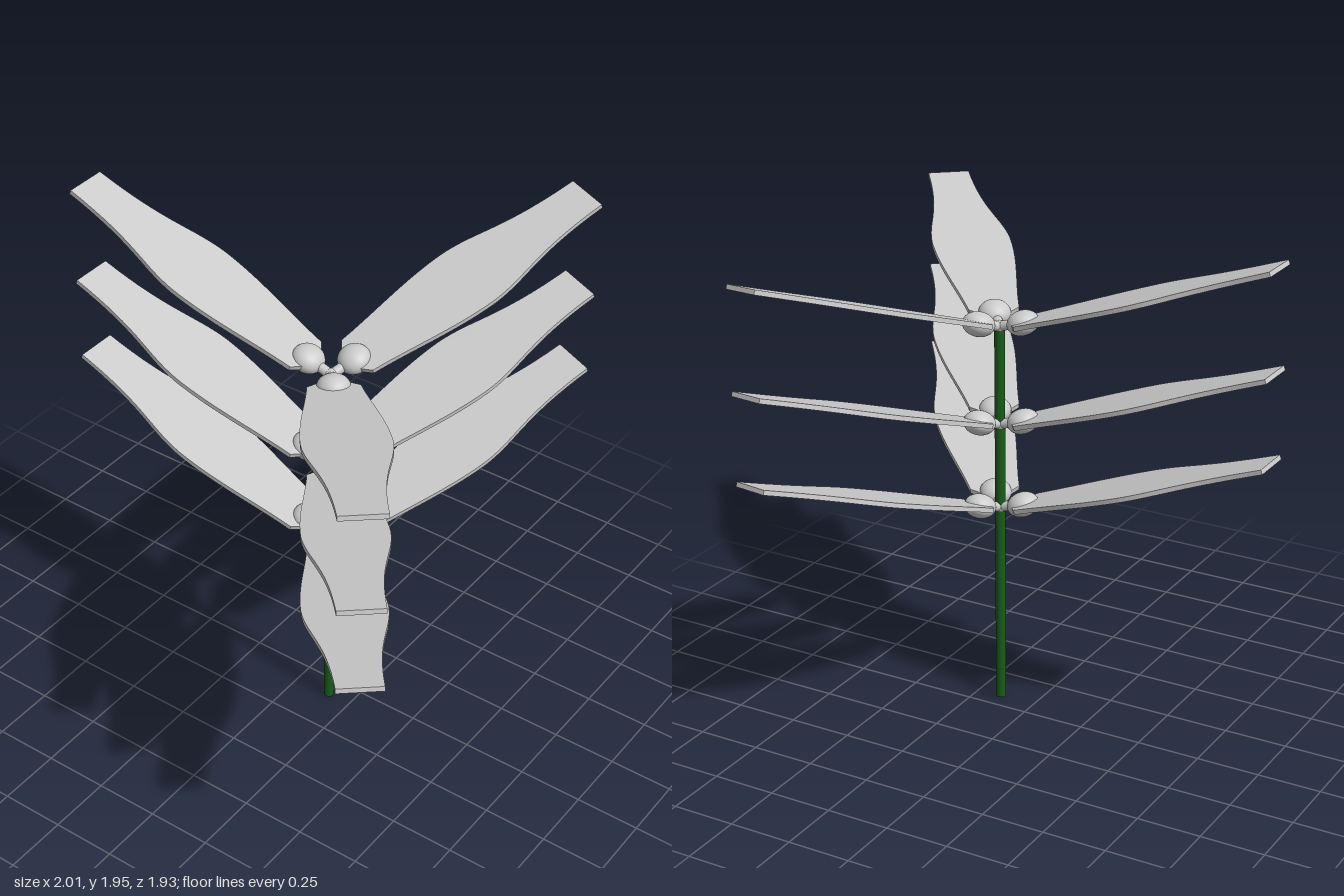
import * as THREE from 'three';

const rad = THREE.MathUtils.degToRad;
const grey = new THREE.MeshStandardMaterial({ color: 0xcccccc });
const green = new THREE.MeshStandardMaterial({ color: 0x1a5a1a });

function part(name, geometry, material = grey) {
  const mesh = new THREE.Mesh(geometry, material);
  mesh.name = name;
  return mesh;
}

// Flat blade along +x: narrow base, wide middle, square tip
function bladeGeometry() {
  const thickness = 0.018;
  const s = new THREE.Shape();
  s.moveTo(-0.02, -0.05);
  s.lineTo(0.015, -0.096);
  s.bezierCurveTo(0.18, -0.112, 0.34, -0.155, 0.52, -0.155);
  s.bezierCurveTo(0.68, -0.15, 0.75, -0.086, 1.08, -0.083);
  s.lineTo(1.08, 0.083);
  s.bezierCurveTo(0.75, 0.086, 0.68, 0.15, 0.52, 0.155);
  s.bezierCurveTo(0.34, 0.155, 0.18, 0.112, 0.015, 0.096);
  s.lineTo(-0.02, 0.05);
  s.closePath();
  return new THREE.ExtrudeGeometry(s, { depth: thickness, bevelEnabled: false, curveSegments: 16 })
    .translate(0, 0, -thickness / 2)
    .rotateX(-Math.PI / 2);
}

// Short round rod between two points
function rod(name, a, b, radius) {
  const dir = b.clone().sub(a);
  const mesh = part(name, new THREE.CylinderGeometry(radius, radius, dir.length(), 16));
  mesh.position.copy(a).addScaledVector(dir, 0.5);
  mesh.quaternion.setFromUnitVectors(new THREE.Vector3(0, 1, 0), dir.normalize());
  return mesh;
}

// Heading, upward tilt, knuckle height above the hub and rotation order of each leaf
const leaves = [
  { name: 'backLeaf', yaw: 90, tilt: 20, lift: 0.03, order: 'XYZ' },
  { name: 'leftLeaf', yaw: -20, tilt: 20, lift: 0.03, order: 'ZYX' },
  { name: 'rightLeaf', yaw: 220.5, tilt: 13.5, lift: 0.02, order: 'XYZ' },
];

export function createModel() {
  const model = new THREE.Group();
  model.name = 'leafyStalk';
  const plant = new THREE.Group();
  plant.name = 'plant';
  plant.position.set(-0.0775, 0, 0.15);
  model.add(plant);

  // Stalk
  const height = 1.545;
  const stalk = part('stalk', new THREE.CylinderGeometry(0.02, 0.02, height, 24), green);
  stalk.position.y = height / 2;
  plant.add(stalk);

  const blade = bladeGeometry();
  const knuckle = new THREE.SphereGeometry(0.062, 32, 20).scale(1, 0.76, 1);
  const hub = new THREE.SphereGeometry(0.024, 20, 14);

  // Three whorls of three leaves
  [0.815, 1.155, 1.545].forEach((y, i) => {
    const whorl = new THREE.Group();
    whorl.name = `whorl${i + 1}`;
    whorl.position.y = y;
    whorl.add(part('hub', hub));
    for (const { name, yaw, tilt, lift, order } of leaves) {
      const a = rad(yaw);
      const joint = new THREE.Vector3(0.1 * Math.cos(a), lift, -0.1 * Math.sin(a));
      whorl.add(rod('leafStem', new THREE.Vector3(), joint, 0.019));
      const leaf = new THREE.Group();
      leaf.name = name;
      leaf.position.copy(joint);
      leaf.rotation.set(0, a, rad(tilt), order);
      leaf.add(part('blade', blade), part('knuckle', knuckle));
      whorl.add(leaf);
    }
    plant.add(whorl);
  });

  return model;
}
